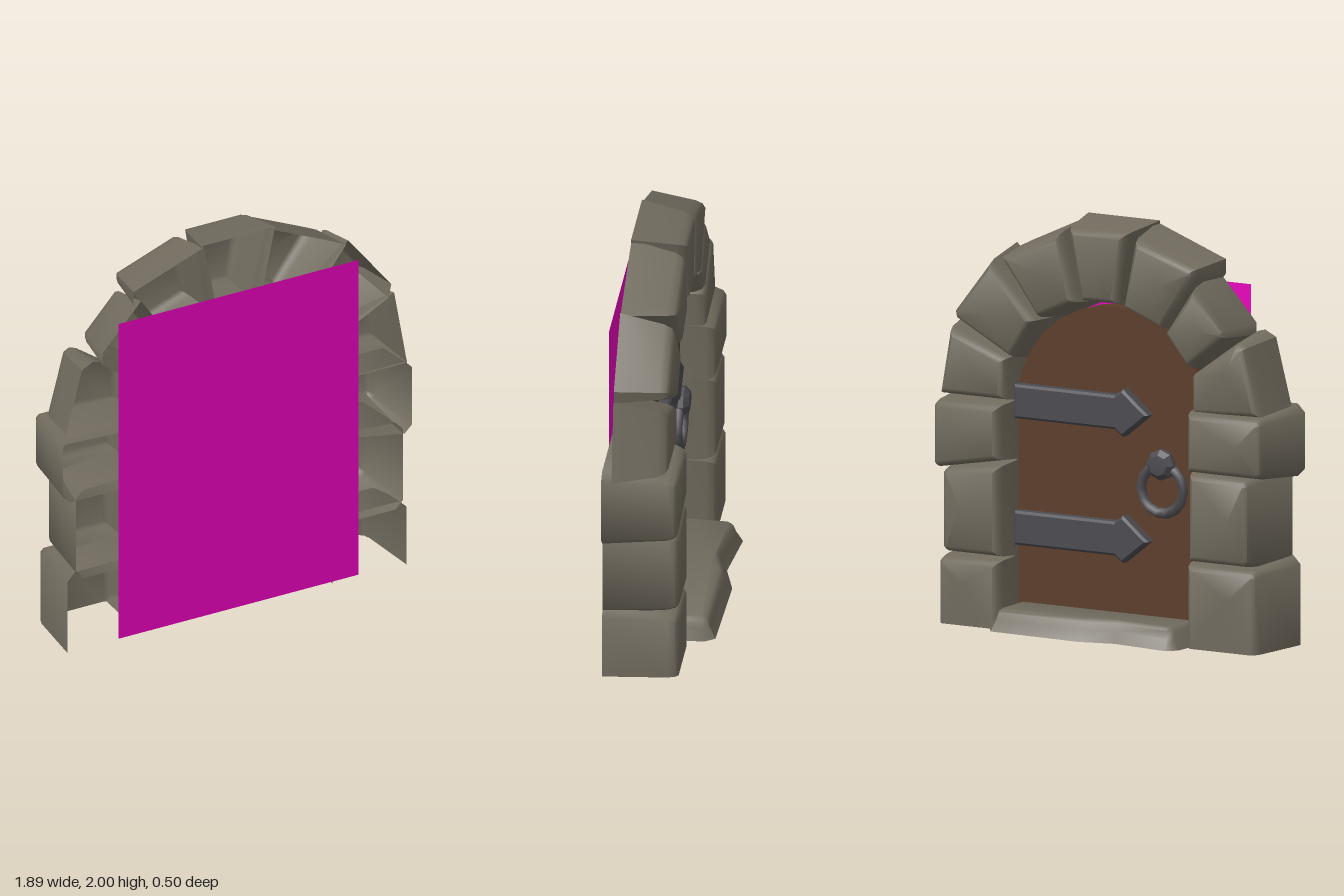
import * as THREE from 'three';
import { toCreasedNormals } from 'three/addons/utils/BufferGeometryUtils.js';

const mat = (name, color, side = THREE.FrontSide) => {
  const m = new THREE.MeshStandardMaterial({ color, side });
  m.name = name;
  return m;
};

// Moves every edge of a counter-clockwise outline inwards by d
function inset(pts, d) {
  return pts.map((p, i) => {
    const a = p.clone().sub(pts.at(i - 1)).normalize();
    const b = pts[(i + 1) % pts.length].clone().sub(p).normalize();
    const k = d / (1 + a.dot(b));
    return new THREE.Vector2(p.x - (a.y + b.y) * k, p.y + (a.x + b.x) * k);
  });
}

// Hollow stone: an outline tapering from an open back (zb) to a rounded face (zf, towards -z).
// Outline corners lying on the ground keep their height and get no wall between them.
function stoneShell(outline, zb, zf, ground = false) {
  const pts = outline.map(p => new THREE.Vector2(...p));
  if (THREE.ShapeUtils.area(pts) < 0) pts.reverse();
  const n = pts.length;
  const c = pts.reduce((s, p) => s.add(p), new THREE.Vector2()).divideScalar(n);
  const onGround = p => ground && p.y < 0.05;
  const rings = [[0, zb], [0.03, zf + 0.05], [0.042, zf + 0.015], [0.06, zf]].map(([d, z]) =>
    inset(pts, d).map((q, i) => new THREE.Vector3(q.x, onGround(pts[i]) ? pts[i].y : q.y, z)));
  const face = rings.at(-1);
  const tris = [];
  for (let i = 0; i < n; i++) {
    const j = (i + 1) % n;
    if (!(onGround(pts[i]) && onGround(pts[j]))) {
      for (let r = 0; r < rings.length - 1; r++) {
        const a = rings[r], b = rings[r + 1];
        tris.push(a[i], b[i], a[j], a[j], b[i], b[j]);
      }
    }
    tris.push(new THREE.Vector3(c.x, c.y, zf), face[j], face[i]);
  }
  return toCreasedNormals(new THREE.BufferGeometry().setFromPoints(tris), 0.8);
}

// Column stone outline from inner to outer x, with the free outer corners cut off
function columnOutline(xIn, xOut, yIn, yOut, topIn, topOut, ground) {
  const cut = 0.04, x = xOut - Math.sign(xOut) * cut;
  const bottom = ground ? [[xOut, yOut]] : [[x, yOut], [xOut, yOut + cut]];
  return [[xIn, yIn], ...bottom, [xOut, topOut - cut], [x, topOut], [xIn, topIn]];
}

export function createModel() {
  const model = new THREE.Group();
  model.name = 'archedDoorway';
  const stone = mat('stone', 0x716b5e, THREE.DoubleSide);
  const wood = mat('wood', 0x5b3d2a);
  const iron = mat('iron', 0x4b4b50);
  const magenta = mat('magenta', 0xe600b9, THREE.DoubleSide);
  const add = (name, geometry, material, parent = model) => {
    const m = new THREE.Mesh(geometry, material);
    m.name = name;
    parent.add(m);
    return m;
  };

  // Side columns
  const columns = new THREE.Group();
  columns.name = 'columns';
  model.add(columns);
  [
    [-0.47, -0.925, 0.015, 0.015, 0.45, 0.445],
    [-0.48, -0.88, 0.4, 0.4, 0.89, 0.88],
    [-0.47, -0.95, 0.83, 0.83, 1.18, 1.18],
    [0.51, 0.91, 0.005, 0.005, 0.36, 0.36],
    [0.51, 0.89, 0.32, 0.32, 0.82, 0.79],
    [0.51, 0.94, 0.79, 0.72, 1.11, 1.11],
  ].forEach((o, i) => {
    const ground = i % 3 === 0;
    add('columnStone' + (i + 1), stoneShell(columnOutline(...o, ground), 0.25, -0.11, ground), stone, columns);
  });

  // Arch stones, from the left column over the top to the right one
  const arch = new THREE.Group();
  arch.name = 'arch';
  model.add(arch);
  [
    [[0.51, 1.07], [0.94, 1.07], [0.87, 1.47], [0.51, 1.32]],
    [[0.5, 1.27], [0.84, 1.45], [0.855, 1.52], [0.62, 1.82], [0.34, 1.5]],
    [[0.37, 1.48], [0.61, 1.8], [0.53, 1.84], [0.205, 1.99], [0.115, 1.59]],
    [[0.14, 1.59], [0.225, 2], [-0.175, 2], [-0.11, 1.59]],
    [[-0.08, 1.59], [-0.16, 1.99], [-0.54, 1.85], [-0.54, 1.78], [-0.34, 1.49]],
    [[-0.31, 1.51], [-0.5, 1.79], [-0.71, 1.56], [-0.71, 1.5], [-0.47, 1.31]],
    [[-0.47, 1.1], [-0.47, 1.34], [-0.72, 1.52], [-0.76, 1.53], [-0.82, 1.5], [-0.92, 1.12]],
  ].forEach((o, i) => add('archStone' + (i + 1), stoneShell(o, 0.2, -0.063), stone, arch));

  // Doorstep with a worn front edge, outlined in plan and lifted upright
  const step = [[-0.53, 0.08], [-0.52, -0.2], [-0.47, -0.245], [-0.17, -0.208], [0, -0.255],
    [0.5, -0.24], [0.535, -0.19], [0.54, 0.08]];
  add('doorstep', stoneShell(step, -0.02, -0.125).rotateX(Math.PI / 2), stone);

  // Door leaf
  const leaf = new THREE.Shape();
  leaf.moveTo(-0.54, 0.02);
  leaf.lineTo(0.54, 0.02);
  leaf.lineTo(0.54, 1.05);
  leaf.absarc(0, 1.05, 0.54, 0, Math.PI);
  add('door', new THREE.ExtrudeGeometry(leaf, { depth: 0.08, bevelEnabled: false, curveSegments: 8 })
    .translate(0, 0, 0.06), wood);

  // Arrow-ended hinge straps
  const strap = new THREE.Shape([[0.51, -0.07], [0.51, 0.07], [-0.04, 0.07], [-0.08, 0.1], [-0.205, 0],
    [-0.08, -0.1], [-0.04, -0.07]].map(p => new THREE.Vector2(...p)));
  const strapGeo = new THREE.ExtrudeGeometry(strap,
    { depth: 0.05, bevelSize: 0.012, bevelThickness: 0.012, bevelSegments: 1 }).translate(0, 0, 0.015);
  [['lowerStrap', 0.48], ['upperStrap', 1.09]].forEach(([name, y]) => {
    add(name, strapGeo, iron).position.y = y;
  });

  // Pull ring hanging from a boss
  const handle = new THREE.Group();
  handle.name = 'handle';
  handle.position.set(-0.29, 0.86, 0);
  model.add(handle);
  const bossProfile = [[0.055, 0], [0.055, 0.03], [0.075, 0.045], [0.075, 0.07], [0.05, 0.095], [0, 0.1]];
  add('boss', toCreasedNormals(new THREE.LatheGeometry(
    bossProfile.map(p => new THREE.Vector2(...p)), 8), 0.5)
    .rotateX(-Math.PI / 2).translate(0, 0, 0.08), iron, handle);
  add('ring', new THREE.TorusGeometry(0.117, 0.026, 6, 14), iron, handle).position.set(0, -0.12, 0.03);

  // Flat panel closing the other side
  add('backPanel', new THREE.PlaneGeometry(1.3, 1.71).translate(0, 0.875, 0.25), magenta);

  return model;
}
